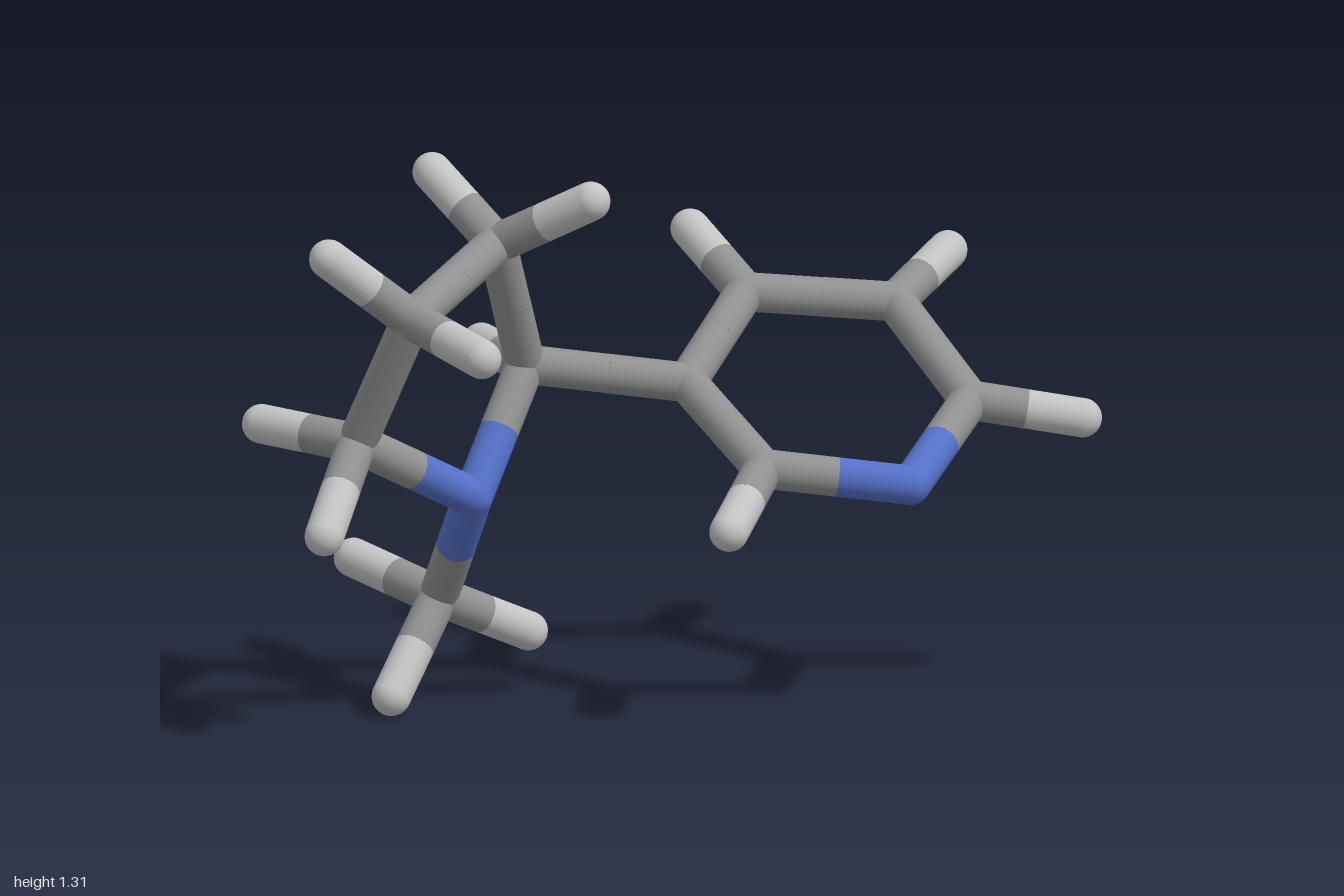
import * as THREE from 'three';

const R = 0.046; // stick radius

const mat = (name, color) => {
  const m = new THREE.MeshStandardMaterial({ color });
  m.name = name;
  return m;
};

// Atoms: element, then position
const ATOMS = {
  // six-membered ring
  ringC3: ['C', 0.06, 0.745, -0.06], ringC4: ['C', 0.285, 0.905, -0.265],
  ringC5: ['C', 0.63, 0.87, -0.195], ringC6: ['C', 0.705, 0.685, 0.09],
  ringN: ['N', 0.475, 0.54, 0.305], ringC2: ['C', 0.145, 0.585, 0.21],
  h4: ['H', 0.23, 1.02, -0.475], h5: ['H', 0.815, 0.953, -0.333],
  h6: ['H', 0.954, 0.64, 0.17], h2: ['H', -0.01, 0.48, 0.39],
  // five-membered ring
  linkC: ['C', -0.31, 0.80, -0.14], amineN: ['N', -0.495, 0.525, 0],
  lowC: ['C', -0.805, 0.685, 0.055], sideC: ['C', -0.73, 1.0, 0.21],
  topC: ['C', -0.435, 1.12, 0],
  hLink: ['H', -0.32, 0.805, -0.395],
  hLowA: ['H', -0.954, 0.70, -0.17], hLowB: ['H', -0.954, 0.508, 0.23],
  hSideA: ['H', -0.935, 1.158, 0.21], hSideB: ['H', -0.657, 0.95, 0.473],
  hTopA: ['H', -0.525, 1.262, -0.183], hTopB: ['H', -0.27, 1.24, 0.175],
  // methyl group
  methylC: ['C', -0.495, 0.25, -0.22],
  hMethylA: ['H', -0.615, 0.307, -0.455], hMethylB: ['H', -0.257, 0.145, -0.258],
  hMethylC: ['H', -0.657, 0.047, -0.105],
};

const BONDS = [
  'ringC3 ringC4', 'ringC4 ringC5', 'ringC5 ringC6', 'ringC6 ringN', 'ringN ringC2', 'ringC2 ringC3',
  'ringC4 h4', 'ringC5 h5', 'ringC6 h6', 'ringC2 h2',
  'ringC3 linkC', 'linkC amineN', 'amineN lowC', 'lowC sideC', 'sideC topC', 'topC linkC',
  'linkC hLink', 'lowC hLowA', 'lowC hLowB', 'sideC hSideA', 'sideC hSideB', 'topC hTopA', 'topC hTopB',
  'amineN methylC', 'methylC hMethylA', 'methylC hMethylB', 'methylC hMethylC',
];

export function createModel() {
  const model = new THREE.Group();
  model.name = 'stickMolecule';
  const materials = {
    C: mat('carbonGrey', 0x909090),
    N: mat('nitrogenBlue', 0x5470c8),
    H: mat('hydrogenLightGrey', 0xc2c2c2),
  };
  const ball = new THREE.SphereGeometry(R, 24, 16);
  const up = new THREE.Vector3(0, 1, 0);
  const pos = (n) => new THREE.Vector3(...ATOMS[n].slice(1));

  // Rounded joints and tips
  for (const name in ATOMS) {
    const joint = new THREE.Mesh(ball, materials[ATOMS[name][0]]);
    joint.name = name + 'Joint';
    joint.position.copy(pos(name));
    model.add(joint);
  }

  // Half a bond, from an atom to the bond's middle
  const halfBond = (name, from, to, material) => {
    const dir = to.clone().sub(from);
    const geo = new THREE.CylinderGeometry(R, R, dir.length(), 24, 1, true);
    const stick = new THREE.Mesh(geo, material);
    stick.name = name;
    stick.position.copy(from).add(to).multiplyScalar(0.5);
    stick.quaternion.setFromUnitVectors(up, dir.normalize());
    model.add(stick);
  };

  for (const bond of BONDS) {
    const [a, b] = bond.split(' ');
    const pa = pos(a), pb = pos(b);
    const mid = pa.clone().lerp(pb, 0.5);
    halfBond(a + 'Stick', pa, mid, materials[ATOMS[a][0]]);
    halfBond(b + 'Stick', pb, mid, materials[ATOMS[b][0]]);
  }
  return model;
}
